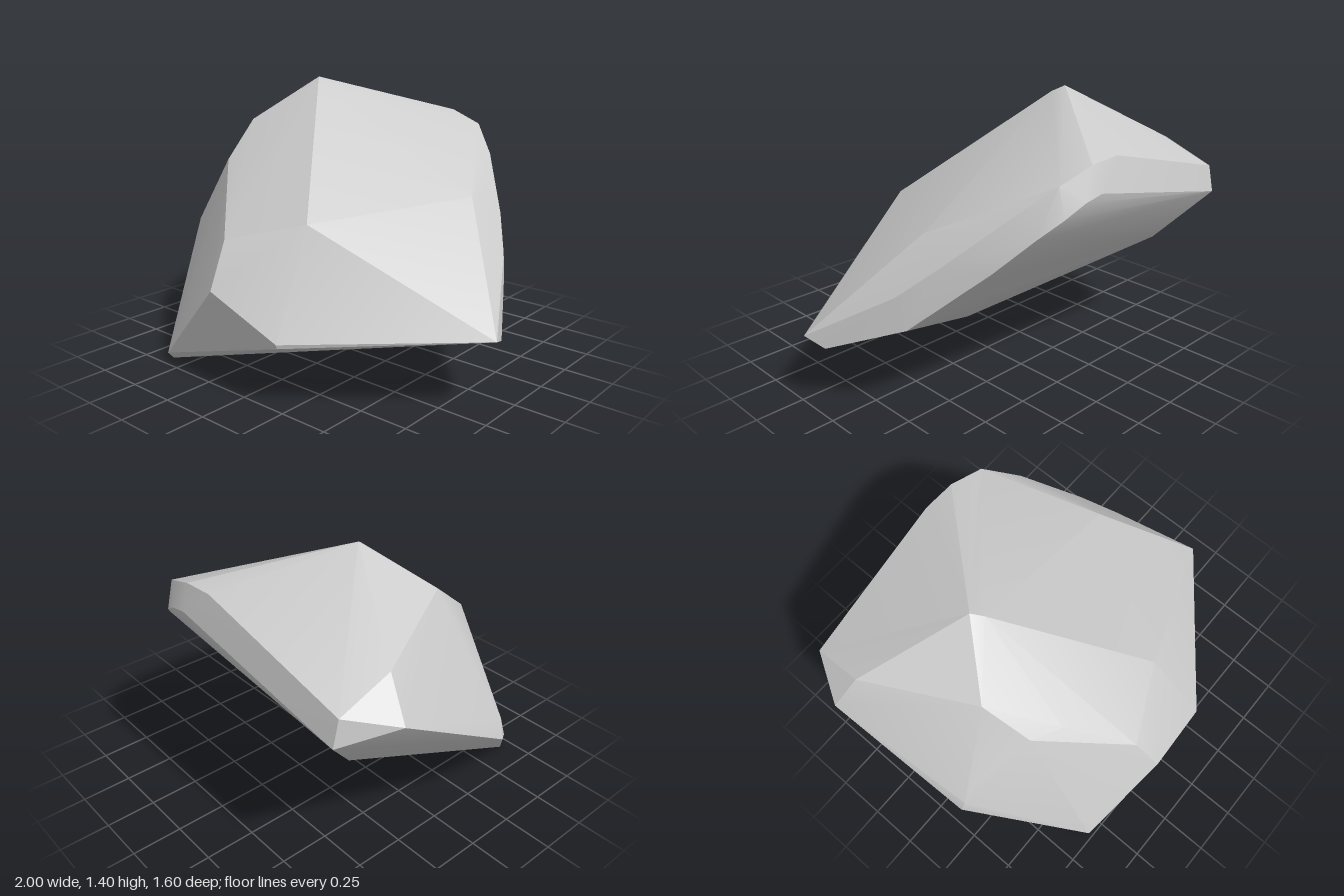
import * as THREE from 'three';
import { ConvexGeometry } from 'three/addons/geometries/ConvexGeometry.js';
import { toCreasedNormals } from 'three/addons/utils/BufferGeometryUtils.js';

export function createModel() {
  const group = new THREE.Group();
  group.name = 'boulder';

  // Peak and upper slopes
  const crown = [
    [-0.36, 1.4, -0.18], [-0.32, 1.37, -0.13], [-0.6, 1.18, 0.08],
    [-0.55, 1.0, 0.31], [-0.4, 0.96, 0.38], [-0.19, 0.71, 0.67],
    [0.17, 0.81, 0.49], [0.6, 0.88, -0.21],
  ];
  // Front lip and the pointed end
  const front = [
    [-0.15, 0.5, 0.8], [0.25, 0.34, 0.78], [0.25, 0.32, 0.775],
    [-0.59, 0.05, 0.73], [-0.61, 0, 0.68],
    [1, 0.37, 0.19], [0.96, 0.33, 0.08],
  ];
  // Blunt side
  const side = [
    [-0.96, 0.5, 0.19], [-0.93, 0.6, 0.2], [-0.8, 0.77, 0.21],
    [-1, 0.93, -0.51], [-0.86, 1.1, -0.46],
  ];
  // Bevelled back rim, curving round to the pointed end
  const rim = [
    [-0.86, 1.0, -0.73], [-0.86, 0.87, -0.76],
    [-0.05, 1.22, -0.755], [0.12, 1.21, -0.755], [0.3, 1.15, -0.73],
    [0.1, 1.09, -0.8], [0.2, 1.07, -0.795], [0.3, 1.01, -0.765],
    [0.4, 0.93, -0.7], [0.52, 0.77, -0.56], [0.76, 0.48, -0.27],
    [0.45, 1.02, -0.61], [0.66, 0.78, -0.38], [0.78, 0.63, -0.22],
  ];
  // Sloping underside
  const underside = [[0.07, 0.18, 0.08], [-0.7, 0.6, -0.53]];

  const points = [...crown, ...front, ...side, ...rim, ...underside]
    .map((p) => new THREE.Vector3(...p));

  // Soften shallow edges, keep the strong ridges sharp
  const geometry = toCreasedNormals(new ConvexGeometry(points), 0.35);
  const rock = new THREE.Mesh(
    geometry,
    new THREE.MeshStandardMaterial({ color: 0xcccccc }),
  );
  rock.name = 'rock';
  group.add(rock);
  return group;
}
